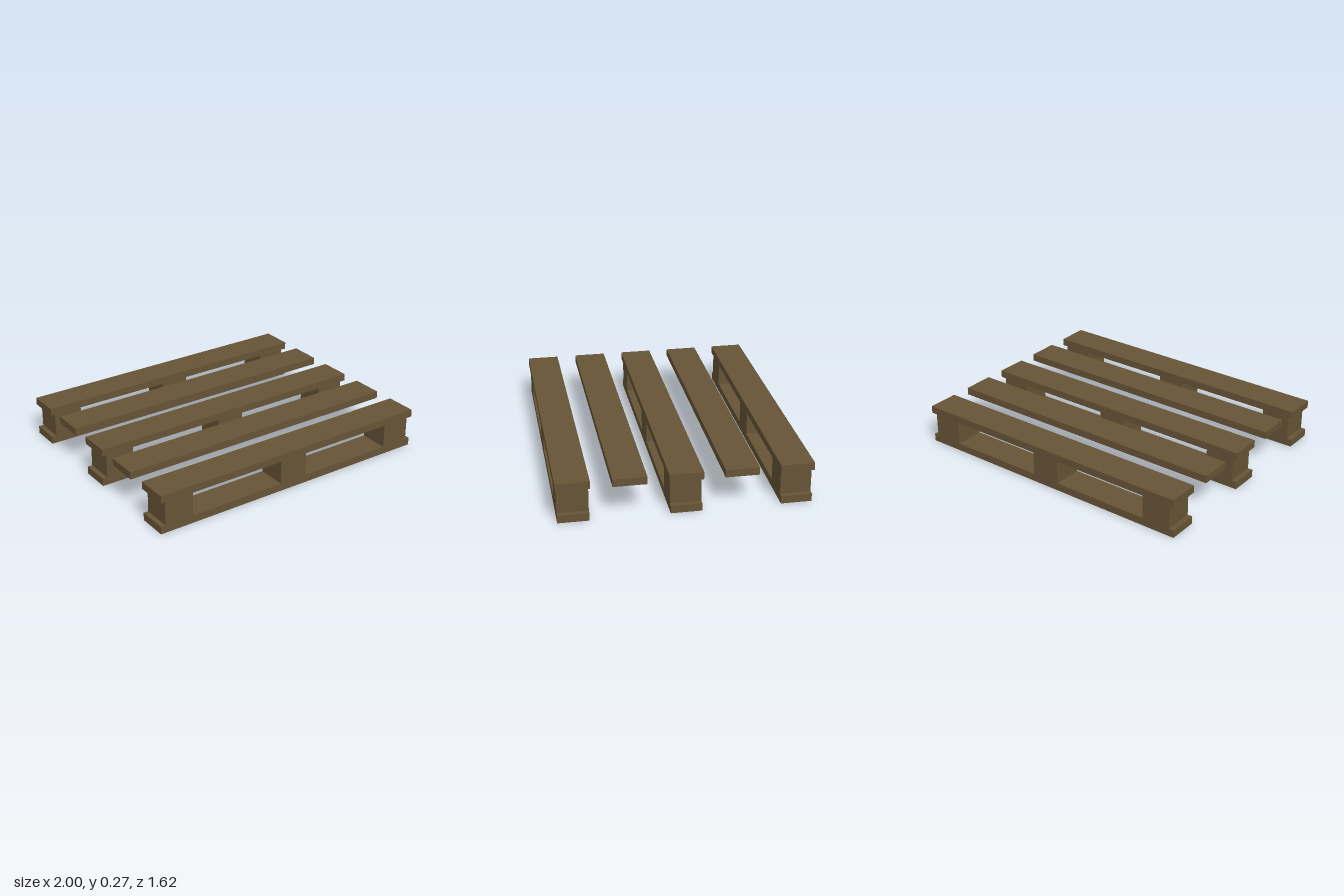
import * as THREE from 'three';

export function createModel() {
  const model = new THREE.Group();
  model.name = 'pallet';
  const wood = new THREE.MeshStandardMaterial({ color: 0x665436 });
  wood.name = 'brown wood';

  // Box spanning y0..y1, centred on x and z
  function addBox(name, width, depth, y0, y1, x, z) {
    const mesh = new THREE.Mesh(new THREE.BoxGeometry(width, y1 - y0, depth), wood);
    mesh.name = name;
    mesh.position.set(x, (y0 + y1) / 2, z);
    model.add(mesh);
  }

  const bottomTop = 0.052, deckBottom = 0.218, deckTop = 0.268;

  // Five deck boards
  for (const z of [-0.7, -0.35, 0, 0.35, 0.7]) {
    addBox('deckBoard', 2, 0.215, deckBottom, deckTop, 0, z);
  }

  // Three runners, each a bottom board carrying three spacer blocks
  for (const z of [-0.7, 0, 0.7]) {
    addBox('bottomBoard', 2, 0.198, 0, bottomTop, 0, z);
    for (const x of [-0.868, 0, 0.868]) {
      addBox('spacerBlock', 0.198, 0.198, bottomTop, deckBottom, x, z);
    }
  }

  return model;
}
